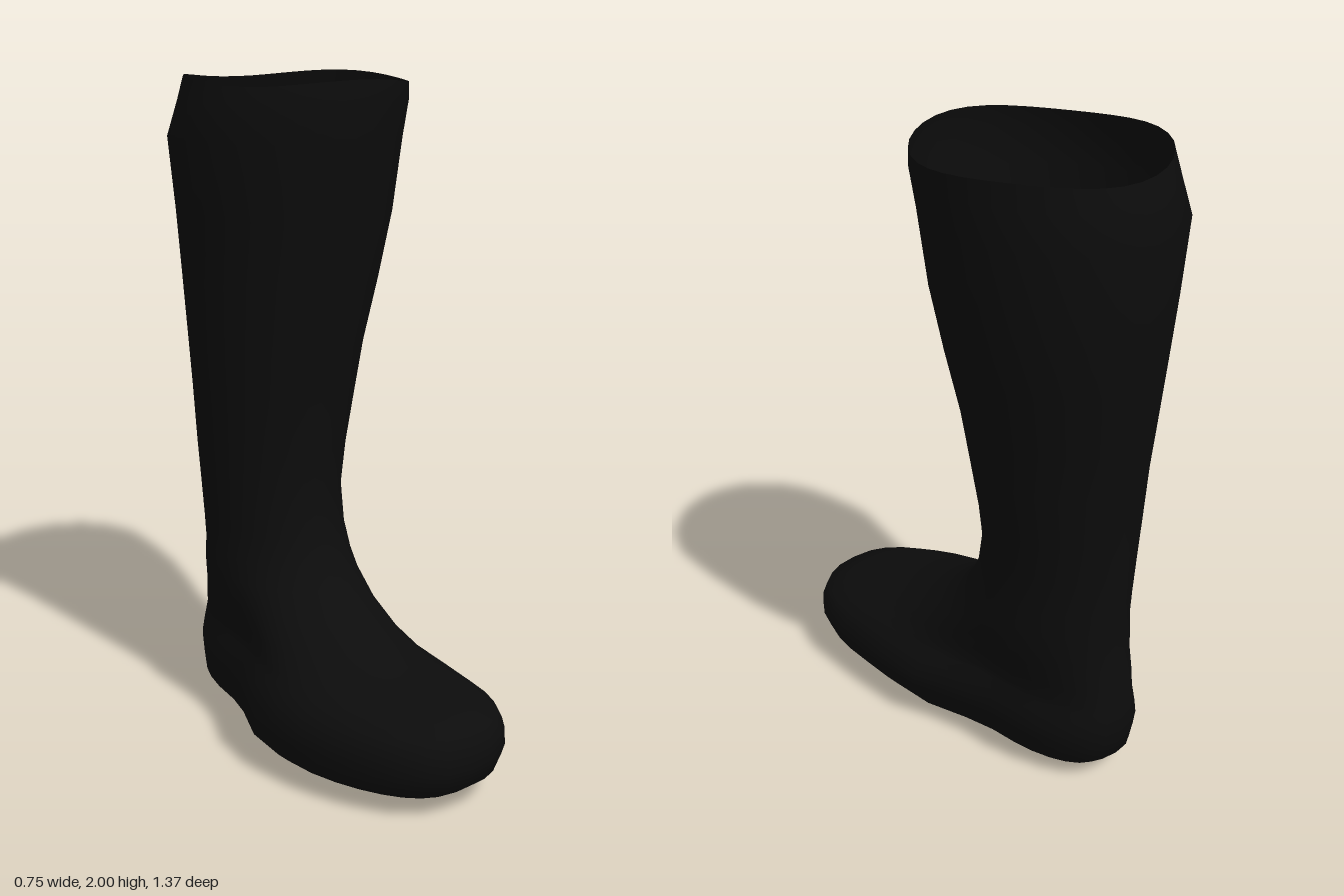
import * as THREE from 'three';

// Boot cross-sections from sole to rim: [y, xMin, xMax, zBack, zFront]
const SECTIONS = [
  [0.005, -0.15, 0.02, -0.34, 0.32],
  [0.02, -0.26, 0.12, -0.46, 0.52],
  [0.05, -0.32, 0.17, -0.51, 0.62],
  [0.09, -0.365, 0.205, -0.555, 0.67],
  [0.15, -0.375, 0.23, -0.57, 0.688],
  [0.2, -0.377, 0.235, -0.578, 0.68],
  [0.245, -0.355, 0.215, -0.578, 0.66],
  [0.28, -0.33, 0.19, -0.575, 0.57],
  [0.3, -0.315, 0.175, -0.57, 0.455],
  [0.35, -0.3, 0.16, -0.563, 0.3],
  [0.42, -0.285, 0.157, -0.55, 0.155],
  [0.49, -0.275, 0.153, -0.547, 0.06],
  [0.55, -0.265, 0.152, -0.545, 0.005],
  [0.63, -0.263, 0.15, -0.548, -0.035],
  [0.75, -0.267, 0.152, -0.555, -0.057],
  [0.88, -0.274, 0.177, -0.568, -0.06],
  [1.05, -0.283, 0.21, -0.585, -0.045],
  [1.2, -0.29, 0.237, -0.608, -0.026],
  [1.4, -0.3, 0.29, -0.641, 0],
  [1.6, -0.312, 0.335, -0.67, 0.027],
  [1.82, -0.335, 0.364, -0.686, 0.052],
  [1.93, -0.307, 0.372, -0.662, 0.066],
  [1.99, -0.29, 0.375, -0.645, 0.055],
];
const SIDES = 36;

const roundedPower = (v, p) => Math.sign(v) * Math.pow(Math.abs(v), 2 / p);

// One closed outline; low sections get a narrow heel, a waist and a turned-in toe
function ring([y, x0, x1, z0, z1], isRim) {
  const foot = 1 - THREE.MathUtils.smoothstep(y, 0.24, 0.5);
  const power = 2 + 0.5 * foot;
  const points = [];
  for (let i = 0; i < SIDES; i++) {
    const a = (i / SIDES) * Math.PI * 2;
    const z = (z0 + z1) / 2 + ((z1 - z0) / 2) * roundedPower(Math.cos(a), power);
    const heel = 1 - THREE.MathUtils.smoothstep(z, -0.25, 0.15);
    const waist = Math.exp(-(((z + 0.12) / 0.13) ** 2));
    const width = 1 - foot * (0.25 * heel + 0.06 * waist);
    const toeShift = foot * 0.05 * THREE.MathUtils.smoothstep(z, 0.2, 0.65);
    const x = (x0 + x1) / 2 + ((x1 - x0) / 2) * width * roundedPower(Math.sin(a), power) + toeShift;
    const wave = isRim ? 0.01 * Math.cos(3 * a) : 0;
    points.push(x, y + wave, z);
  }
  return points;
}

function bootGeometry() {
  const positions = [];
  const indices = [];
  SECTIONS.forEach((s, r) => positions.push(...ring(s, r === SECTIONS.length - 1)));
  for (let r = 0; r < SECTIONS.length - 1; r++) {
    for (let i = 0; i < SIDES; i++) {
      const j = (i + 1) % SIDES;
      const a = r * SIDES + i, b = r * SIDES + j;
      indices.push(a, b, b + SIDES, a, b + SIDES, a + SIDES);
    }
  }
  // Close the sole
  const centre = positions.length / 3;
  positions.push(-0.07, 0, 0);
  for (let i = 0; i < SIDES; i++) indices.push(centre, (i + 1) % SIDES, i);

  const geometry = new THREE.BufferGeometry();
  geometry.setAttribute('position', new THREE.Float32BufferAttribute(positions, 3));
  geometry.setIndex(indices);
  geometry.computeVertexNormals();
  return geometry;
}

export function createModel() {
  const group = new THREE.Group();
  group.name = 'tallBoot';
  // Thin open shell, seen from inside and outside
  const material = new THREE.MeshStandardMaterial({ color: 0x0c0c0c, side: THREE.DoubleSide });
  material.name = 'blackRubber';
  const boot = new THREE.Mesh(bootGeometry(), material);
  boot.name = 'bootShell';
  group.add(boot);
  return group;
}
